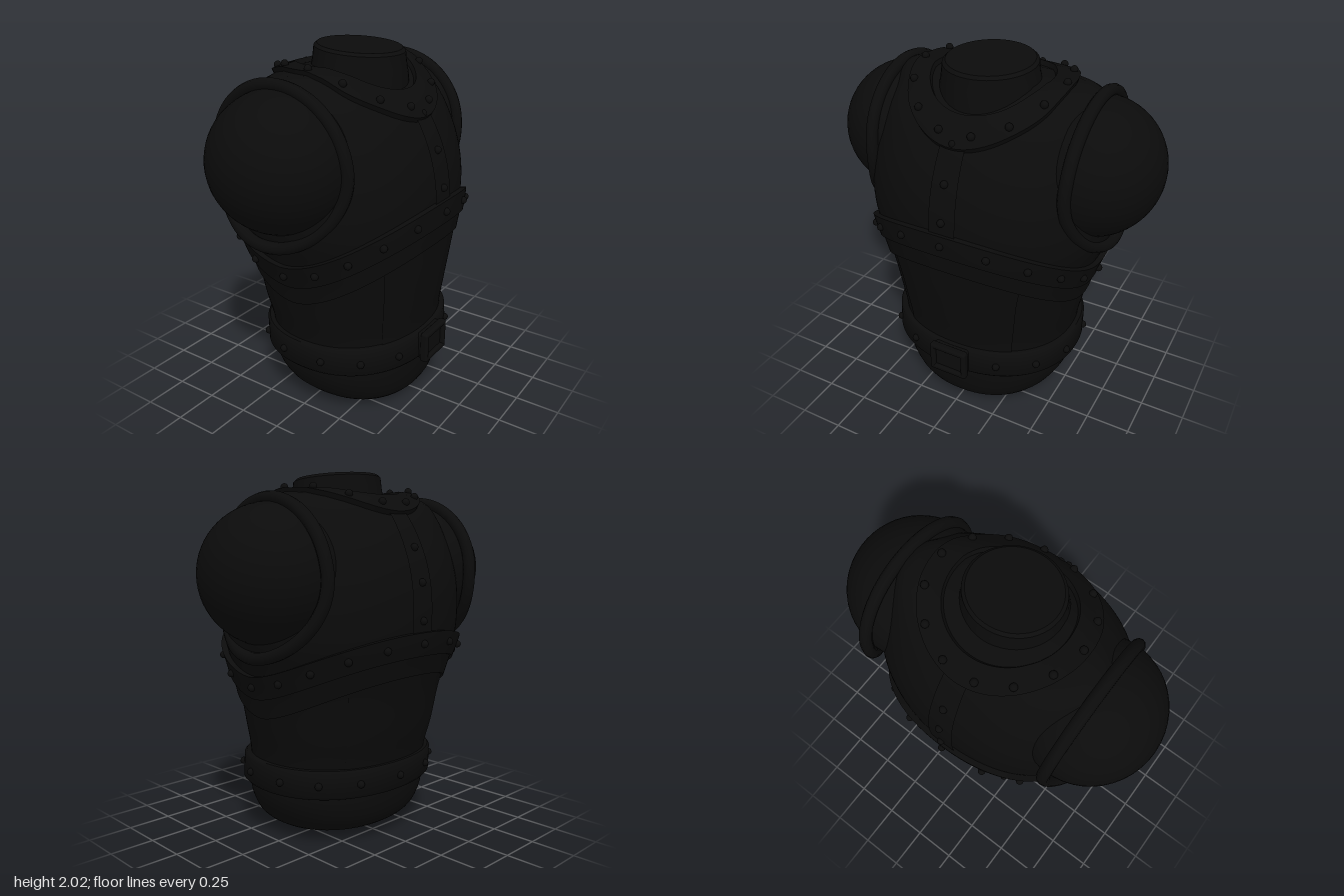
import * as THREE from 'three';
import { toCreasedNormals } from 'three/addons/utils/BufferGeometryUtils.js';
import { RoundedBoxGeometry } from 'three/addons/geometries/RoundedBoxGeometry.js';

const N = 2.2; // squareness of the torso cross-section
// torso cross-sections: height, back x, front x, half width in z
const SECTIONS = [
  [0, -.25, .37, .28], [.015, -.30, .40, .36], [.05, -.35, .45, .42], [.1, -.385, .48, .47],
  [.2, -.41, .5, .52], [.3, -.415, .5, .53], [.43, -.42, .49, .53], [.6, -.465, .51, .56],
  [.8, -.5, .535, .6], [.95, -.535, .55, .65], [1.1, -.575, .565, .7], [1.25, -.585, .565, .71],
  [1.4, -.575, .54, .7], [1.55, -.535, .485, .67], [1.7, -.46, .39, .63], [1.8, -.38, .27, .59],
  [1.85, -.3, .19, .565], [1.88, -.2, .1, .5],
];

// smooth interpolation between the sections
function section(y) {
  const S = SECTIONS, last = S.length - 1;
  y = THREE.MathUtils.clamp(y, 0, S[last][0]);
  let i = 0;
  while (i < last - 1 && y > S[i + 1][0]) i++;
  const h = S[i + 1][0] - S[i][0], t = (y - S[i][0]) / h;
  const slope = (j, k) => {
    const a = S[Math.max(j - 1, 0)], b = S[Math.min(j + 1, last)];
    return (b[k] - a[k]) / (b[0] - a[0]);
  };
  const [back, front, rz] = [1, 2, 3].map(k =>
    (2 * t ** 3 - 3 * t * t + 1) * S[i][k] + (t ** 3 - 2 * t * t + t) * h * slope(i, k) +
    (3 * t * t - 2 * t ** 3) * S[i + 1][k] + (t ** 3 - t * t) * h * slope(i + 1, k));
  return { cx: (back + front) / 2, rx: (front - back) / 2, rz };
}

// point on the torso at angle a (0 = chest, PI = back), pushed out by off
function onTorso(a, y, off = 0) {
  const { cx, rx, rz } = section(y), c = Math.cos(a), s = Math.sin(a);
  const x = cx + (rx + off) * Math.sign(c) * Math.abs(c) ** (2 / N);
  const z = (rz + off) * Math.sign(s) * Math.abs(s) ** (2 / N);
  return new THREE.Vector3(x, y - .07 * x * Math.max(0, 1 - y / .25), z);
}

// height of the upper torso above a ground point
function topY(x, z) {
  let lo = 1.25, hi = 1.88;
  for (let i = 0; i < 24; i++) {
    const m = (lo + hi) / 2, { cx, rx, rz } = section(m);
    if (Math.abs((x - cx) / rx) ** N + Math.abs(z / rz) ** N < 1) lo = m; else hi = m;
  }
  return lo;
}

// surface from a point rule f(u, row)
function grid(nu, rows, f, crease = .6) {
  const pos = [], idx = [], w = nu + 1;
  for (let j = 0; j < rows; j++) for (let i = 0; i <= nu; i++) pos.push(...f(i / nu, j).toArray());
  for (let j = 0; j < rows - 1; j++) for (let i = 0; i < nu; i++) {
    const a = j * w + i;
    idx.push(a, a + w, a + 1, a + 1, a + w, a + w + 1);
  }
  const g = new THREE.BufferGeometry();
  g.setAttribute('position', new THREE.Float32BufferAttribute(pos, 3));
  g.setIndex(idx);
  return toCreasedNormals(g, crease);
}

// raised plate following the torso, between two height rules
function plate(a0, a1, low, high, off, nu = 96, steps = 6) {
  return grid(nu, steps + 3, (u, j) => {
    const a = a0 + (a1 - a0) * u;
    const t = THREE.MathUtils.clamp((j - 1) / steps, 0, 1);
    const edge = j === 0 || j === steps + 2;
    return onTorso(a, low(a) + (high(a) - low(a)) * t, edge ? -.02 : off);
  });
}

export function createModel() {
  const model = new THREE.Group();
  const black = new THREE.MeshStandardMaterial({ color: 0x0b0b0b, side: THREE.DoubleSide });
  black.name = 'black';
  const add = (name, geo) => {
    const m = new THREE.Mesh(geo, black);
    m.name = name;
    model.add(m);
    return m;
  };
  const studGeo = new THREE.SphereGeometry(.021, 12, 8);
  const stud = (name, p) => add(name, studGeo).position.copy(p);
  const TAU = Math.PI * 2;

  // torso, closed below and above
  const rows = 80;
  add('torso', grid(96, rows + 3, (u, j) => {
    if (j === 0) return new THREE.Vector3(.06, .005, 0);
    if (j === rows + 2) return new THREE.Vector3(-.05, 1.885, 0);
    const t = (j - 1) / rows;
    return onTorso(u * TAU, 1.88 * (t < .12 ? t * t / .12 : t));
  }, 1));

  // neck stump with a sloping top
  const neck = new THREE.LatheGeometry([[.285, 1.65], [.27, 1.85], [.26, 1.9], [.252, 1.965], [.235, 1.98], [0, 1.98]]
    .map(p => new THREE.Vector2(...p)), 48);
  const np = neck.attributes.position;
  for (let i = 0; i < np.count; i++) {
    const x = np.getX(i), y = np.getY(i);
    np.setXYZ(i, x * .96 + .045, y - x * .08, np.getZ(i));
  }
  add('neck', toCreasedNormals(neck, .6));

  // collar lying on the shoulders
  const collarPoint = (a, r, lift) => {
    const x = .015 + r * .98 * Math.cos(a), z = r * Math.sin(a);
    return new THREE.Vector3(x + lift * .6 * Math.cos(a), topY(x, z) + lift, z + lift * .3 * Math.sin(a));
  };
  add('collar', grid(80, 9, (u, j) => {
    const t = THREE.MathUtils.clamp((j - 1) / 6, 0, 1);
    return collarPoint(u * TAU, .44 - .12 * t, j === 0 || j === 8 ? -.02 : .025);
  }));
  for (let i = 0; i < 14; i++) stud('collarRivet', collarPoint((i + .5) / 14 * TAU, .405, .03));

  // arched chest band in two tiers
  const arch = a => .69 + .28 * Math.abs(Math.cos(a)) ** 1.5 - (Math.cos(a) < 0 ? .05 * Math.cos(a) ** 2 : 0);
  add('lowerChestBand', plate(0, TAU, arch, a => arch(a) + .13, .018, 128));
  add('upperChestBand', plate(0, TAU, a => arch(a) + .11, a => arch(a) + .24, .032, 128));
  for (let i = 0; i < 20; i++) {
    const a = i / 20 * TAU;
    stud('bandRivet', onTorso(a, arch(a) + .18, .036));
  }

  // upright strips on chest and back
  for (const [name, a, low, high, heights] of [
    ['chestStrip', 0, 1.17, 1.66, [1.28, 1.48, 1.66]],
    ['backStrip', Math.PI, 1.12, 1.8, [1.22, 1.42, 1.6]]]) {
    add(name, plate(a - .085, a + .085, () => low, () => high, .014, 8, 16));
    for (const y of heights) stud('stripRivet', onTorso(a, y, .018));
  }

  // thin belly and back panels
  for (const a of [0, Math.PI])
    add('waistPanel', plate(a - .62, a + .62, () => .4, () => 1, .006, 32, 12));

  // belt with rivets
  const beltRows = [[.275, -.02], [.27, .025], [.285, .038], [.415, .038], [.43, .025], [.43, -.02]];
  add('belt', grid(96, beltRows.length, (u, j) => onTorso(u * TAU, ...beltRows[j]), .9));
  for (let i = 1; i < 14; i++) stud('beltRivet', onTorso(i / 14 * TAU, .35, .042));

  // buckle: plate, frame and tongue
  add('bucklePlate', new RoundedBoxGeometry(.06, .16, .22, 3, .02)).position.set(.53, .345, 0);
  for (const s of [-1, 1]) {
    add('buckleSide', new RoundedBoxGeometry(.045, .18, .03, 3, .012)).position.set(.56, .345, s * .1);
    add('buckleBar', new RoundedBoxGeometry(.045, .03, .21, 3, .012)).position.set(.56, .345 + s * .075, 0);
  }

  // arm stumps and armhole rims
  for (const s of [-1, 1]) {
    const ball = add(s > 0 ? 'leftArm' : 'rightArm', new THREE.SphereGeometry(1, 48, 32));
    ball.scale.set(.395, .375, .38);
    ball.position.set(-.05, 1.46, s * .56);
    const loop = [];
    for (let i = 0; i < 24; i++) {
      const a = i / 24 * TAU, down = Math.max(0, -Math.sin(a));
      loop.push(new THREE.Vector3(-.06 + .415 * Math.cos(a), 1.445 + .405 * Math.sin(a),
        s * (.565 + .015 * Math.max(0, Math.sin(a)) + .14 * down * down)));
    }
    add(s > 0 ? 'leftArmholeRim' : 'rightArmholeRim',
      new THREE.TubeGeometry(new THREE.CatmullRomCurve3(loop, true), 96, .034, 10, true));
  }
  return model;
}
